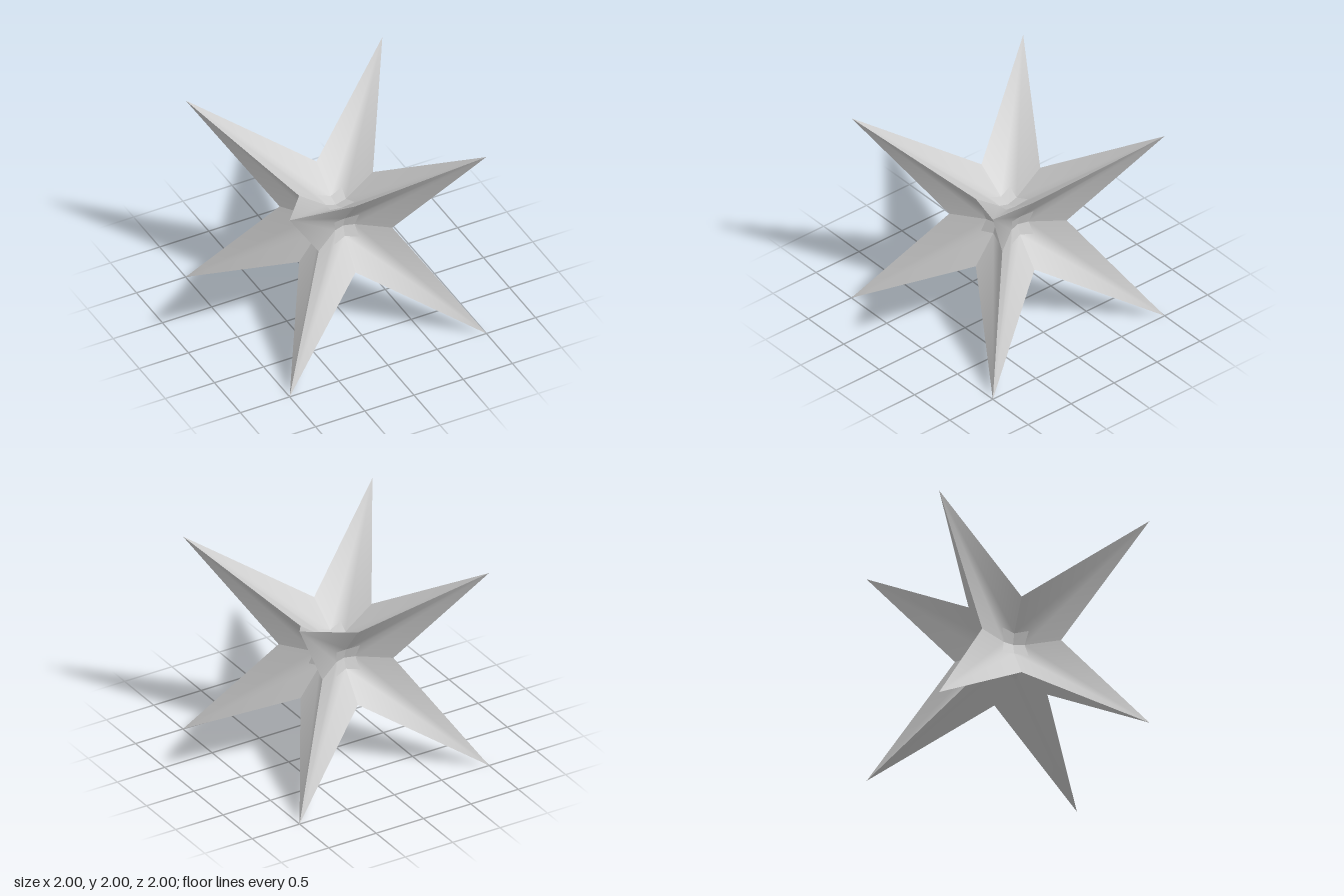
import * as THREE from 'three';
import { mergeGeometries } from 'three/addons/utils/BufferGeometryUtils.js';

const RIM = 0.375;  // pinched midpoint of each cube edge
const PIT = { mid: 0.1, corner: 0.125, midZ: 0.17, cornerZ: 0.21, centreZ: 0.14 };

// Smooth-shaded sheet from a few corner points and triangle indices
function sheet(points, index) {
  const g = new THREE.BufferGeometry();
  g.setAttribute('position', new THREE.Float32BufferAttribute(points.flat(), 3));
  g.setIndex(index);
  g.computeVertexNormals();
  return g;
}

// One side of the star: a four-pointed hollow facing +z, made of four equal quarters
function sideGeometry(makeQuarter) {
  const quarters = [];
  for (let i = 0; i < 4; i++) quarters.push(makeQuarter().rotateZ(i * Math.PI / 2));
  return mergeGeometries(quarters);
}

// Sloping walls from the spike tip and rims down to the pit, folded along the diagonal
const wallQuarter = () => sheet([
  [PIT.mid, 0, PIT.midZ], [RIM, 0, RIM], [1, 1, 1],
  [PIT.corner, PIT.corner, PIT.cornerZ], [0, RIM, RIM], [0, PIT.mid, PIT.midZ],
], [0, 1, 2, 0, 2, 3, 3, 2, 5, 2, 4, 5]);

// Shallow floor of the pit
const floorQuarter = () => sheet([
  [0, 0, PIT.centreZ], [PIT.mid, 0, PIT.midZ],
  [PIT.corner, PIT.corner, PIT.cornerZ], [0, PIT.mid, PIT.midZ],
], [0, 1, 2, 0, 2, 3]);

export function createModel() {
  const star = new THREE.Group();
  star.name = 'eightPointedStar';
  const material = new THREE.MeshStandardMaterial({ color: 0xcccccc });
  const walls = sideGeometry(wallQuarter);
  const floor = sideGeometry(floorQuarter);

  // The same side turned to the six cube directions
  const q = Math.PI / 2;
  const sides = {
    front: [0, 0], left: [0, q], back: [0, 2 * q], right: [0, -q], top: [-q, 0], bottom: [q, 0],
  };
  for (const [name, [rx, ry]] of Object.entries(sides)) {
    const side = new THREE.Group();
    side.name = name + 'Side';
    const wallMesh = new THREE.Mesh(walls, material);
    wallMesh.name = name + 'SpikeWalls';
    const floorMesh = new THREE.Mesh(floor, material);
    floorMesh.name = name + 'PitFloor';
    side.add(wallMesh, floorMesh);
    side.rotation.set(rx, ry, 0);
    star.add(side);
  }
  star.position.y = 1;

  const model = new THREE.Group();
  model.add(star);
  return model;
}
